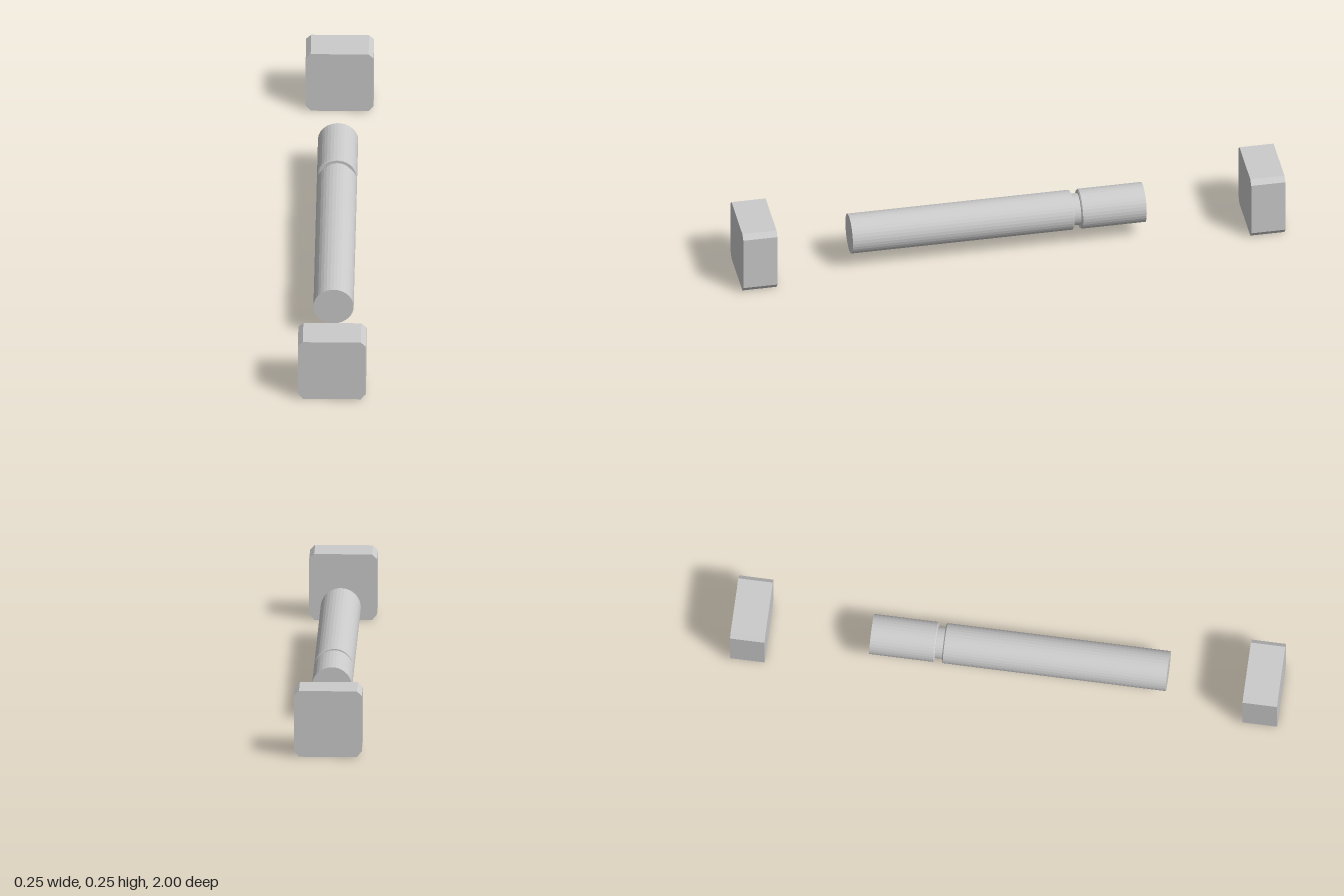
import * as THREE from 'three';

const material = new THREE.MeshStandardMaterial({ color: 0xcccccc, flatShading: true });

// Square block with chamfered long edges, extruded along z
function makeBlock(name, z) {
  const right = [[0.105, 0], [0.111, 0.008], [0.123, 0.022], [0.123, 0.23], [0.105, 0.247]];
  const left = right.map(([x, y]) => [-x, y]).reverse();
  const shape = new THREE.Shape([...right, ...left].map(([x, y]) => new THREE.Vector2(x, y)));
  const geometry = new THREE.ExtrudeGeometry(shape, { depth: 0.126, bevelEnabled: false });
  const block = new THREE.Mesh(geometry, material);
  block.name = name;
  block.position.z = z;
  return block;
}

// Solid rod with a narrow groove; the profile runs from back to front
function makeRod() {
  const r = 0.073, neck = 0.058, edge = 0.004;
  const profile = [
    [0, -0.498], [r, -0.498],
    [r, -0.26 - edge], [r - edge, -0.26], [neck, -0.26],
    [neck, -0.233], [r - edge, -0.233], [r, -0.233 + edge],
    [r, 0.586], [0, 0.586],
  ].map(([x, y]) => new THREE.Vector2(x, y));
  const geometry = new THREE.LatheGeometry(profile, 36);
  geometry.rotateX(Math.PI / 2);
  const rod = new THREE.Mesh(geometry, material);
  rod.name = 'groovedRod';
  rod.position.y = 0.126;
  return rod;
}

export function createModel() {
  const model = new THREE.Group();
  model.name = 'rodAndEndBlocks';
  model.add(makeBlock('frontBlock', 0.874), makeBlock('backBlock', -1), makeRod());
  return model;
}
